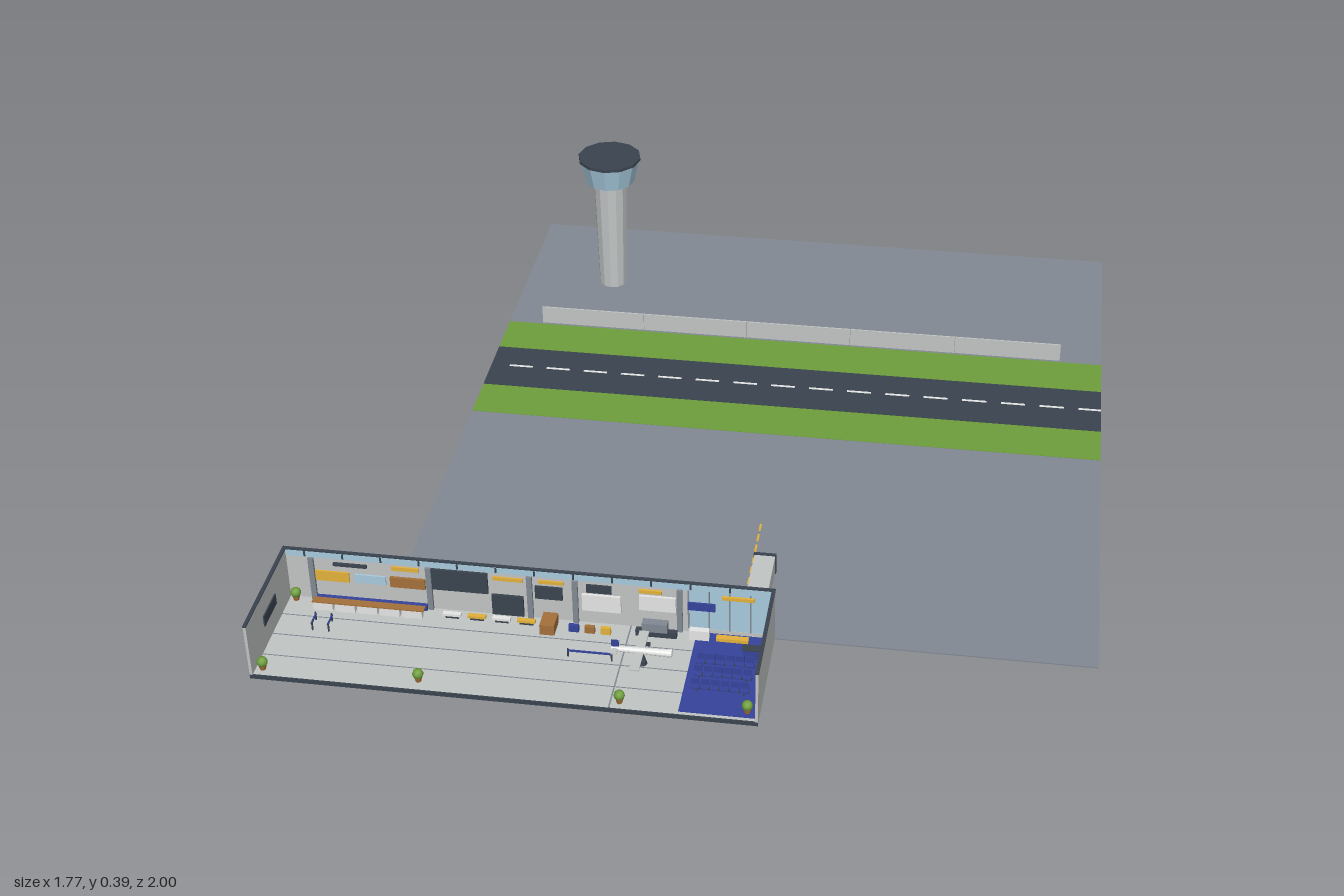
import * as THREE from 'three';

const mat = (name, color) => {
  const m = new THREE.MeshStandardMaterial({ color });
  m.name = name;
  return m;
};

export function createModel() {
  const M = {
    apron: mat('apron grey', 0x828a94),
    dark: mat('dark slate', 0x3a444f),
    grass: mat('grass green', 0x6f9f3c),
    wall: mat('light grey', 0xc2c6c5),
    glass: mat('pale blue glass', 0xa8cbdf),
    blue: mat('royal blue', 0x36449c),
    yellow: mat('amber yellow', 0xe3b23c),
    brown: mat('wood brown', 0xa5713a),
    white: mat('white', 0xeef0ee),
  };
  const root = new THREE.Group();
  root.name = 'airport';
  const group = (name) => {
    const g = new THREE.Group();
    g.name = name;
    root.add(g);
    return g;
  };
  const add = (parent, name, geo, m, x, y, z) => {
    const mesh = new THREE.Mesh(geo, m);
    mesh.name = name;
    mesh.position.set(x, y, z);
    parent.add(mesh);
    return mesh;
  };
  // Box given by its limits on each axis
  const box = (p, name, m, x0, x1, y0, y1, z0, z1) =>
    add(p, name, new THREE.BoxGeometry(x1 - x0, y1 - y0, z1 - z0), m, (x0 + x1) / 2, (y0 + y1) / 2, (z0 + z1) / 2);
  const cyl = (p, name, m, rTop, rBottom, y0, y1, x, z, sides = 12) => {
    const g = new THREE.CylinderGeometry(rTop, rBottom, y1 - y0, sides).toNonIndexed();
    g.computeVertexNormals();
    return add(p, name, g, m, x, (y0 + y1) / 2, z);
  };

  // Airfield: apron, grass, runway and markings
  const field = group('airfield');
  box(field, 'apron', M.apron, -0.657, 0.885, 0.004, 0.007, -1, 0.722);
  box(field, 'grassStrip', M.grass, -0.657, 0.885, 0.007, 0.008, -0.47, -0.045);
  box(field, 'runway', M.dark, -0.657, 0.885, 0.008, 0.009, -0.343, -0.167);
  for (let x = -0.61; x < 0.88; x += 0.096)
    box(field, 'runwayDash', M.white, x, Math.min(x + 0.06, 0.885), 0.009, 0.0098, -0.262, -0.255);
  for (let z = 0.32; z < 0.71; z += 0.04)
    box(field, 'taxiDash', M.yellow, 0.109, 0.114, 0.007, 0.008, z, z + 0.026);

  // Perimeter barrier in panels
  const barrier = group('barrier');
  for (let i = 0; i < 5; i++)
    box(barrier, 'barrierPanel', M.wall, -0.57 + i * 0.27, -0.301 + i * 0.27, 0.007, 0.054, -0.482, -0.478);

  // Control tower
  const tower = group('controlTower');
  const tx = -0.426, tz = -0.716;
  cyl(tower, 'towerShaft', M.wall, 0.043, 0.036, 0.006, 0.318, tx, tz);
  cyl(tower, 'towerCab', M.glass, 0.079, 0.064, 0.316, 0.379, tx, tz);
  cyl(tower, 'towerRoof', M.dark, 0.082, 0.082, 0.378, 0.386, tx, tz);

  // Terminal shell, open at the front and the top
  const shell = group('terminalShell');
  const L = -0.887, R = 0.193, B = 0.72, F = 0.998, T = 0.137;
  box(shell, 'floorSlab', M.wall, L, R, 0.003, 0.009, B, F - 0.003);
  box(shell, 'frontKerb', M.dark, L, R, 0, 0.01, F - 0.003, F);
  box(shell, 'gateCarpet', M.blue, 0.025, R - 0.006, 0.009, 0.0105, B + 0.008, F - 0.012);
  box(shell, 'backWall', M.wall, L, 0.005, 0.005, T, B, B + 0.006);
  box(shell, 'windowSill', M.wall, 0.005, R, 0.005, 0.018, B, B + 0.006);
  box(shell, 'gateWindow', M.glass, 0.005, R, 0.018, T, B + 0.001, B + 0.005);
  for (let i = 0; i < 5; i++)
    box(shell, 'windowMullion', M.apron, 0.005 + i * 0.045, 0.008 + i * 0.045, 0.018, T, B, B + 0.007);
  for (const x of [L, R - 0.006]) {
    box(shell, 'sideWall', M.wall, x, x + 0.006, 0.003, T, B, F);
    box(shell, 'sideWallCap', M.dark, x - 0.001, x + 0.007, T, T + 0.003, B, F);
  }
  box(shell, 'backWallCap', M.dark, L, R, T, T + 0.003, B - 0.001, B + 0.007);
  box(shell, 'clerestory', M.glass, L + 0.006, R - 0.006, 0.122, T, B + 0.006, B + 0.0075);
  for (let x = -0.84; x < 0.18; x += 0.085)
    box(shell, 'clerestoryMullion', M.dark, x, x + 0.004, 0.124, T, B + 0.0075, B + 0.009);
  for (const z of [0.79, 0.858, 0.927])
    box(shell, 'floorJoint', M.apron, L + 0.006, 0.025, 0.009, 0.0098, z, z + 0.002);
  box(shell, 'floorJoint', M.apron, -0.121, -0.118, 0.009, 0.0098, B + 0.006, F - 0.003);
  for (const x of [-0.825, -0.563, -0.34, -0.24, -0.012])
    box(shell, 'wallPillar', M.apron, x - 0.006, x + 0.006, 0.009, 0.122, B + 0.006, B + 0.013);

  // Boarding bridge
  const bridge = group('boardingBridge');
  box(bridge, 'bridgeTunnel', M.wall, 0.126, 0.172, 0.048, 0.095, 0.55, B);
  box(bridge, 'bridgeMouth', M.dark, 0.124, 0.174, 0.046, 0.097, 0.542, 0.55);
  cyl(bridge, 'bridgeLeg', M.dark, 0.004, 0.004, 0, 0.048, 0.149, 0.58, 8);

  // Wall boards: material, x range, y range
  const boards = group('wallBoards');
  const z0 = B + 0.006;
  [
    ['yellow', -0.818, -0.742, 0.062, 0.088], ['brown', -0.65, -0.572, 0.062, 0.088],
    ['glass', -0.73, -0.66, 0.064, 0.086],
    ['dark', -0.775, -0.7, 0.106, 0.113], ['yellow', -0.645, -0.585, 0.106, 0.116],
    ['dark', -0.556, -0.432, 0.066, 0.12], ['yellow', -0.42, -0.355, 0.104, 0.113],
    ['dark', -0.425, -0.355, 0.012, 0.065], ['glass', -0.415, -0.365, 0.012, 0.058],
    ['dark', -0.328, -0.268, 0.066, 0.098], ['yellow', -0.32, -0.265, 0.106, 0.114],
    ['white', -0.225, -0.14, 0.045, 0.088], ['dark', -0.215, -0.16, 0.093, 0.114],
    ['white', -0.1, -0.02, 0.06, 0.098], ['grass', -0.095, -0.025, 0.075, 0.092],
    ['yellow', -0.1, -0.05, 0.106, 0.114], ['blue', 0.005, 0.065, 0.07, 0.09],
    ['yellow', 0.08, 0.15, 0.106, 0.114],
  ].forEach(([m, xa, xb, ya, yb], i) =>
    box(boards, 'wallBoard', M[m], xa, xb, ya, yb, z0, z0 + 0.004 + (i % 2) * 0.002));
  box(boards, 'sideBoard', M.dark, L + 0.006, L + 0.009, 0.062, 0.088, 0.82, 0.9);

  // Check-in desks, belt and queue lines
  const hall = group('departureHall');
  box(hall, 'baggageBelt', M.blue, -0.818, -0.57, 0.009, 0.022, 0.728, 0.739);
  for (let i = 0; i < 5; i++) {
    const x = -0.818 + i * 0.05;
    box(hall, 'checkInDesk', M.white, x, x + 0.044, 0.009, 0.03, 0.753, 0.767);
    box(hall, 'deskTop', M.brown, x - 0.001, x + 0.049, 0.03, 0.033, 0.751, 0.769);
  }
  const queue = (x0, x1, za, zb) => {
    box(hall, 'queueBelt', M.blue, x0, x1, 0.024, 0.028, za, zb);
    for (const [x, z] of [[x0, za], [x1, zb]])
      cyl(hall, 'queuePost', M.dark, 0.002, 0.002, 0.009, 0.03, x, z, 6);
  };
  queue(-0.802, -0.799, 0.8, 0.835);
  queue(-0.766, -0.763, 0.8, 0.835);
  queue(-0.235, -0.14, 0.844, 0.847);

  // Shops, benches and screening lane
  box(hall, 'shopCounter', M.brown, -0.31, -0.278, 0.009, 0.034, 0.735, 0.782);
  for (let i = 0; i < 4; i++) {
    const x = -0.53 + i * 0.055;
    box(hall, 'bench', i % 2 ? M.yellow : M.white, x, x + 0.04, 0.016, 0.022, 0.747, 0.758);
    box(hall, 'benchBase', M.dark, x + 0.005, x + 0.035, 0.009, 0.016, 0.75, 0.755);
  }
  for (let i = 0; i < 3; i++)
    box(hall, 'luggage', [M.blue, M.brown, M.yellow][i], -0.25 + i * 0.035, -0.228 + i * 0.035, 0.009, 0.026, 0.755, 0.764);
  box(hall, 'screeningBelt', M.dark, -0.105, -0.015, 0.009, 0.024, 0.744, 0.757);
  box(hall, 'screeningScanner', M.apron, -0.09, -0.035, 0.024, 0.046, 0.741, 0.76);
  box(hall, 'shopShelf', M.white, 0.012, 0.055, 0.009, 0.035, 0.742, 0.756);
  box(hall, 'gateBench', M.yellow, 0.07, 0.14, 0.012, 0.02, 0.742, 0.756);

  // Display aircraft on a stand
  const plane = group('displayAircraft');
  cyl(plane, 'displayStand', M.dark, 0.004, 0.012, 0.009, 0.036, -0.075, 0.845, 8);
  cyl(plane, 'fuselage', M.white, 0.009, 0.006, -0.065, 0.065, 0, 0).rotation.z = -Math.PI / 2;
  plane.children[1].position.set(-0.075, 0.043, 0.845);
  box(plane, 'wing', M.wall, -0.091, -0.07, 0.041, 0.044, 0.78, 0.91);
  box(plane, 'tailplane', M.wall, -0.138, -0.126, 0.045, 0.047, 0.822, 0.868);
  box(plane, 'tailFin', M.blue, -0.14, -0.124, 0.046, 0.066, 0.844, 0.846);
  for (const s of [-1, 1])
    box(plane, 'engine', M.dark, -0.085, -0.062, 0.034, 0.041, 0.842 + s * 0.03, 0.848 + s * 0.03);

  // Gate seats and desk
  const gate = group('gateLounge');
  for (const z of [0.832, 0.872, 0.914]) {
    for (let i = 0; i < 6; i++) {
      const x = 0.04 + i * 0.021;
      box(gate, 'seat', M.blue, x, x + 0.018, 0.018, 0.021, z - 0.008, z + 0.008);
      box(gate, 'seatBack', M.blue, x, x + 0.018, 0.021, 0.036, z - 0.008, z - 0.005);
    }
    box(gate, 'seatBeam', M.dark, 0.04, 0.164, 0.014, 0.018, z - 0.003, z + 0.003);
    for (const x of [0.05, 0.15]) box(gate, 'seatLeg', M.dark, x, x + 0.004, 0.01, 0.014, z - 0.006, z + 0.006);
  }
  box(gate, 'gateDesk', M.blue, 0.135, 0.176, 0.01, 0.034, 0.788, 0.803);
  box(gate, 'gateDeskTop', M.dark, 0.133, 0.178, 0.034, 0.037, 0.786, 0.805);

  // Potted plants
  const plants = group('pottedPlants');
  for (const [x, z] of [[-0.865, 0.738], [-0.865, 0.975], [-0.53, 0.967], [-0.1, 0.975], [0.167, 0.97]]) {
    cyl(plants, 'plantPot', M.brown, 0.009, 0.006, 0.009, 0.021, x, z, 8);
    add(plants, 'plantLeaves', new THREE.IcosahedronGeometry(0.012, 1), M.grass, x, 0.029, z);
  }
  return root;
}
